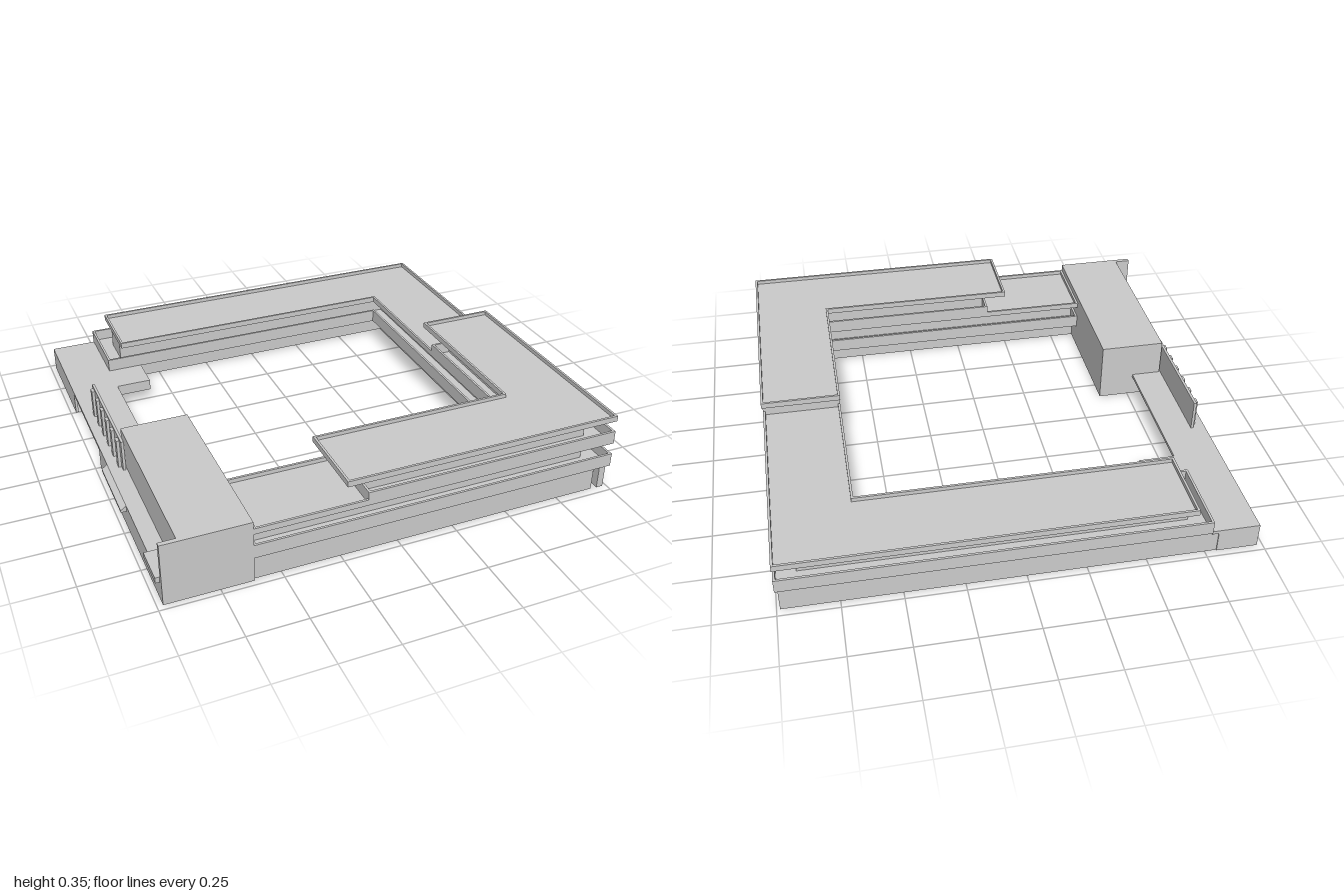
import * as THREE from 'three';

const concrete = new THREE.MeshStandardMaterial({ color: 0xcccccc, side: THREE.DoubleSide });
concrete.name = 'light grey concrete';

// Edges of the wings: front, right, back, and their courtyard sides
const F = 0.975, R = 0.998, B = -0.978, FI = 0.632, RI = 0.655, BI = -0.64;
// Left face of the building, and courtyard face of the hall
const W = -0.976, H = -0.612;

// Plan outlines as [x, z]; i pulls the outer faces inwards, c the courtyard faces
const uPlan = (i, xf, xb, c = i) => [
  [xf, F - i], [R - i, F - i], [R - i, B + i], [xb, B + i],
  [xb, BI - c], [RI + c, BI - c], [RI + c, FI + c], [xf, FI + c]];
const lPlan = (i, xf, zr) => [
  [xf, F - i], [R - i, F - i], [R - i, zr], [RI + i, zr], [RI + i, FI + i], [xf, FI + i]];
const rect = (x0, x1, z0, z1) => [[x0, z0], [x1, z0], [x1, z1], [x0, z1]];

// Plan to counter-clockwise points in the shape plane
function toPoints(plan) {
  const p = plan.map(([x, z]) => new THREE.Vector2(x, -z));
  return THREE.ShapeUtils.isClockWise(p) ? p.reverse() : p;
}

// Moves every side of a right-angled outline inwards by t
function inset(p, t) {
  return p.map((v, k) => {
    const a = v.clone().sub(p[(k + p.length - 1) % p.length]).normalize();
    const b = p[(k + 1) % p.length].clone().sub(v).normalize();
    return new THREE.Vector2(v.x - t * (a.y + b.y), v.y + t * (a.x + b.x));
  });
}

export function createModel() {
  const model = new THREE.Group();
  model.name = 'courtyardBuilding';

  // Extrudes a plan between two heights; wall > 0 leaves only a ring
  function slab(name, plan, y0, y1, wall = 0) {
    const p = toPoints(plan);
    const shape = new THREE.Shape(p);
    if (wall) shape.holes.push(new THREE.Path(inset(p, wall)));
    const geo = new THREE.ExtrudeGeometry(shape, { depth: y1 - y0, bevelEnabled: false });
    geo.rotateX(-Math.PI / 2).translate(0, y0, 0);
    const mesh = new THREE.Mesh(geo, concrete);
    mesh.name = name;
    model.add(mesh);
  }
  // Flat roof with a raised rim
  function tray(name, plan, y0, y1) {
    slab(name + 'Deck', plan, y0, y0 + 0.008);
    slab(name + 'Rim', plan, y0 + 0.008, y1, 0.01);
  }

  // Ground floor, open below, with a slit at the front right corner
  const base = uPlan(0.012, H, -0.8, 0.09);
  base.splice(1, 1, [0.925, F - 0.012], [0.925, 0.93], [0.953, 0.93], [0.953, 0.965], [0.983, 0.965]);
  slab('groundFloorWalls', base, 0, 0.11, 0.01);

  // First floor: gallery with a parapet, recessed walls and lower roof
  slab('galleryFloor', uPlan(0, H, -0.77), 0.108, 0.118, 0.09);
  slab('galleryParapet', uPlan(0, H, -0.77), 0.118, 0.168, 0.01);
  slab('recessedFirstFloor', uPlan(0.09, H, -0.69), 0.11, 0.22, 0.01);
  tray('lowerRoof', uPlan(0, H, -0.7), 0.22, 0.246);

  // Upper storey on the front right corner
  slab('upperParapet', lPlan(0, -0.14, 0), 0.22, 0.28, 0.01);
  slab('recessedUpperFloor', lPlan(0.09, -0.14, 0), 0.228, 0.33);
  tray('upperRoof', lPlan(0, -0.23, -0.09), 0.33, 0.355);

  // Left deck, carried by the walls of the back corner
  slab('leftDeck', rect(W, -0.77, -0.97, 0.155), 0.095, 0.11);
  slab('cornerSideWall', rect(W, W + 0.012, -0.97, -0.5), 0, 0.095);
  slab('cornerBackWall', rect(W, -0.8, -0.97, -0.96), 0, 0.095);
  slab('deckEndWall', rect(W, W + 0.012, 0, 0.155), 0, 0.095);
  slab('courtLanding', rect(-0.77, H, -0.73, -0.478), 0.06, 0.11);

  // Ribbed screen standing on the deck
  slab('screen', rect(-0.922, -0.91, -0.3, 0.22), 0.11, 0.25);
  for (let k = 0; k < 6; k++) {
    const z = -0.28 + k * 0.088;
    slab('screenRib', rect(-0.935, -0.922, z, z + 0.03), 0.11, 0.24);
  }

  // Hall on the front left corner, open below, with a side ledge and a front wall
  slab('hallLowerWalls', rect(W, H, 0.155, F), 0, 0.11, 0.012);
  slab('hallUpperWalls', rect(-0.905, H, 0.155, F), 0.11, 0.266, 0.012);
  slab('hallRoof', rect(-0.905, H, 0.155, F), 0.266, 0.277);
  slab('sideLedge', rect(W, -0.893, 0.155, F), 0.1, 0.11);
  slab('frontWall', rect(W, -0.905, F - 0.02, F), 0.11, 0.277);
  slab('sideCanopy', rect(-0.993, -0.905, 0.79, 0.95), 0.09, 0.115);

  // Wedge awning over the side windows
  const wedge = new THREE.Shape([
    new THREE.Vector2(W, 0.11), new THREE.Vector2(-1, 0.093),
    new THREE.Vector2(-1, 0.083), new THREE.Vector2(W, 0.083)]);
  const awning = new THREE.Mesh(
    new THREE.ExtrudeGeometry(wedge, { depth: 0.32, bevelEnabled: false }), concrete);
  awning.name = 'awning';
  awning.position.z = 0.15;
  model.add(awning);

  return model;
}
